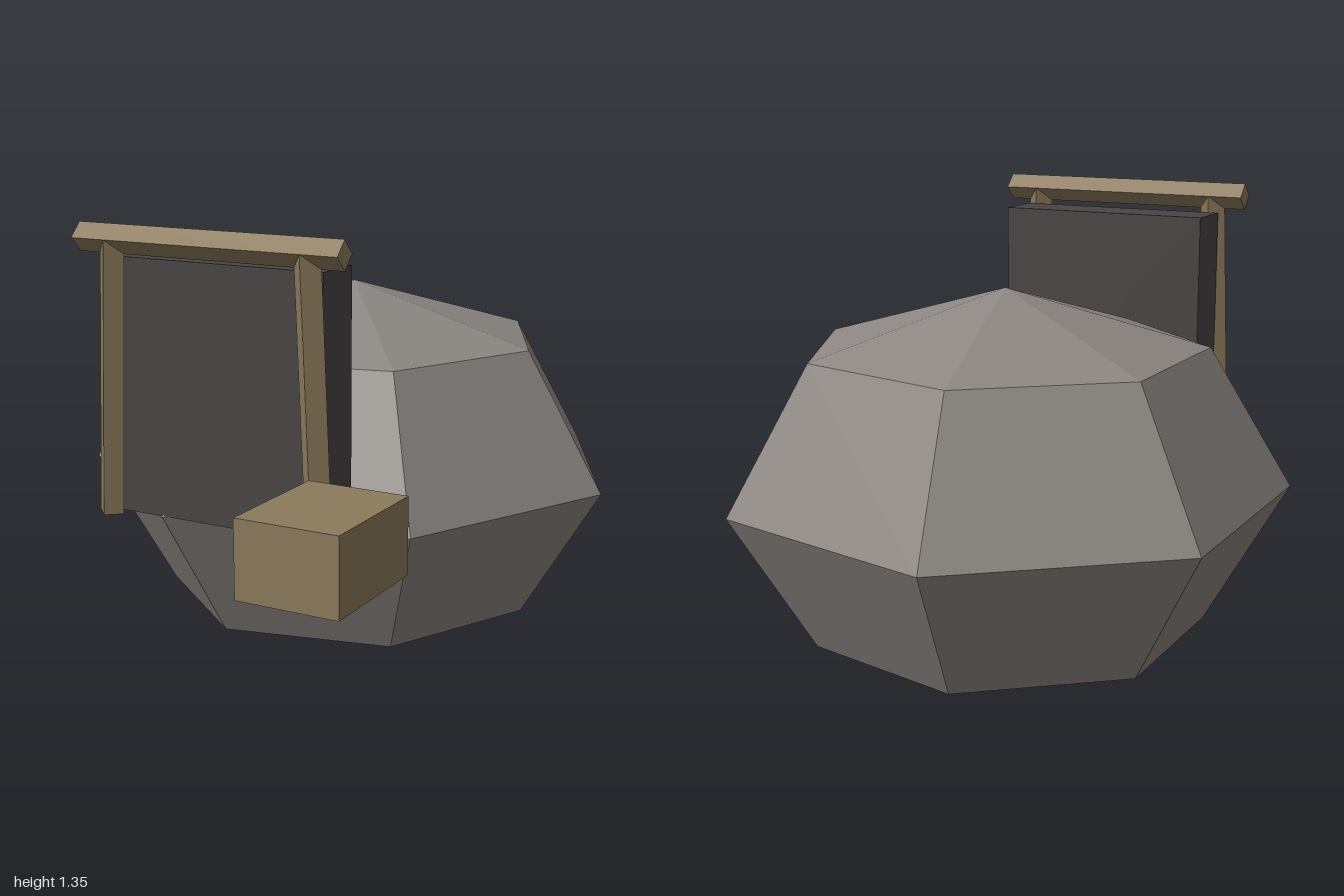
import * as THREE from 'three';

export function createModel() {
  const group = new THREE.Group();
  const mat = (name, color) => {
    const m = new THREE.MeshStandardMaterial({ color, flatShading: true });
    m.name = name;
    return m;
  };
  const stone = mat('stone grey', 0x8c8782);
  const dark = mat('dark opening', 0x484544);
  const wood = mat('weathered wood', 0x8b7a5c);

  const add = (name, geometry, material, x, y, z) => {
    const mesh = new THREE.Mesh(geometry, material);
    mesh.name = name;
    mesh.position.set(x, y, z);
    group.add(mesh);
    return mesh;
  };

  const cx = -0.042; // shared centre line of boulder and doorway

  // Squashed seven-sided boulder
  const boulder = add('boulder', new THREE.SphereGeometry(0.797, 7, 4), stone, cx, 0.559, -0.224);
  boulder.scale.y = 0.7;
  boulder.rotation.y = Math.PI;

  // Dark entrance slab
  add('entrance', new THREE.BoxGeometry(0.645, 0.7, 0.15), dark, cx, 0.91, 0.475);

  // Square posts, edge forward, leaning inward
  for (const side of [-1, 1]) {
    const post = add(side < 0 ? 'rightPost' : 'leftPost',
      new THREE.CylinderGeometry(0.039, 0.039, 0.75, 4), wood, cx + side * 0.309, 0.934, 0.577);
    post.rotation.z = side * 0.042;
  }

  // Lintel beam across the posts
  const lintel = add('lintel', new THREE.CylinderGeometry(0.039, 0.039, 0.795, 4), wood, cx, 1.31, 0.577);
  lintel.rotation.z = Math.PI / 2;

  // Crate in front of the entrance
  add('crate', new THREE.BoxGeometry(0.274, 0.2, 0.348), wood, 0.433, 0.659, 0.826);

  return group;
}
